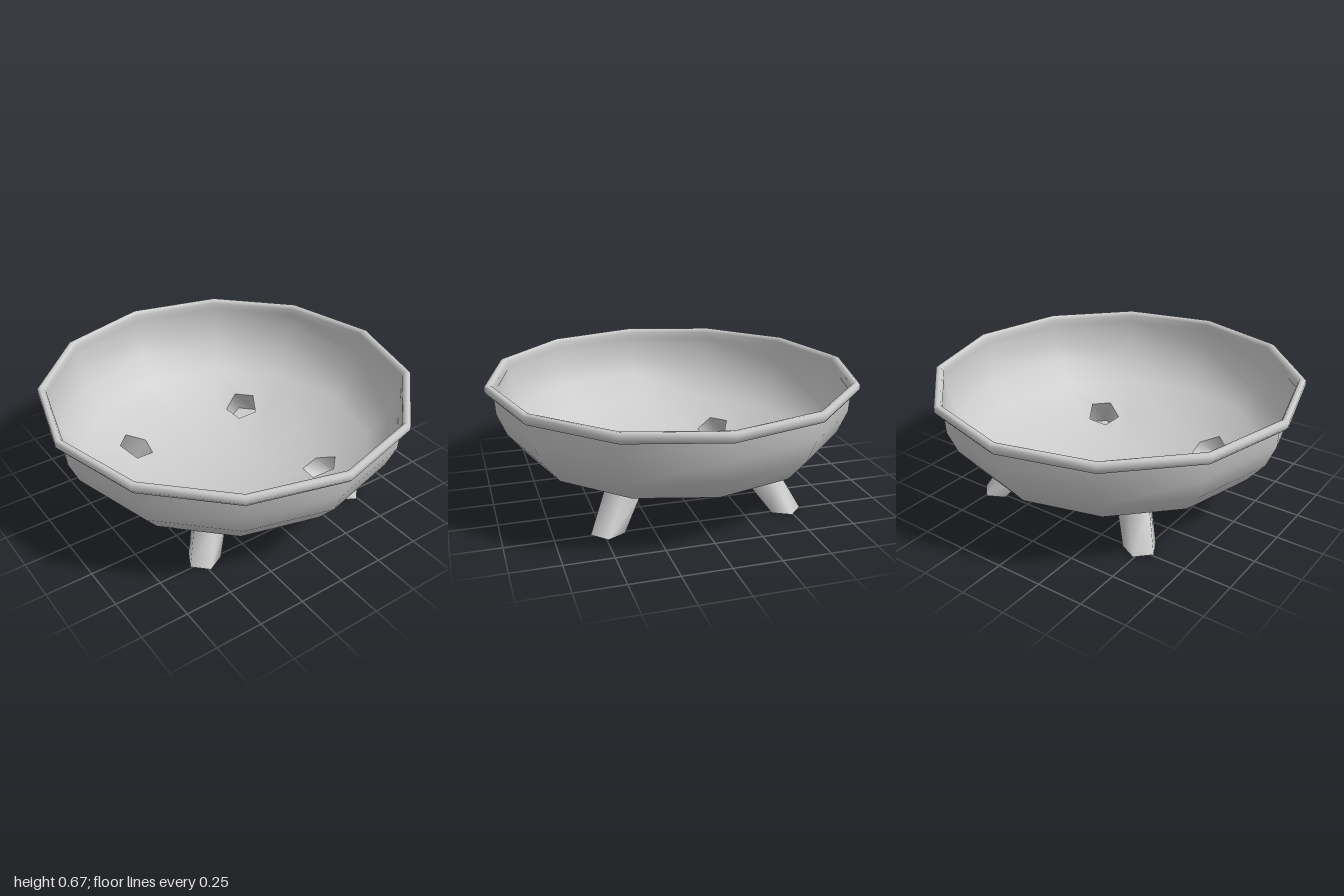
import * as THREE from 'three';
import { mergeVertices } from 'three/addons/utils/BufferGeometryUtils.js';

const SIDES = 12;
const HALF = Math.PI / SIDES;
const LEG_U = 0.53, LEG_R = 0.095; // socket distance from the axis and radius
const SOCKET_LINE = LEG_U - LEG_R * Math.cos(Math.PI * 0.4);

// bowl profile: radius at the corners, height
const PROFILE = [
  [0, 0.075], [0.27, 0.09], [SOCKET_LINE / Math.cos(HALF), 0.147], [0.8, 0.27],
  [0.9, 0.39], [0.95, 0.51], [0.957, 0.615],
];

// height of the bowl at distance u from the axis, measured across a flat side
function bowlHeight(u) {
  const r = u / Math.cos(HALF);
  let i = 1;
  while (i < PROFILE.length - 1 && r > PROFILE[i][0]) i++;
  const [r0, y0] = PROFILE[i - 1], [r1, y1] = PROFILE[i];
  return y0 + (y1 - y0) * (r - r0) / (r1 - r0);
}

// corner k of the five-sided leg socket, corner 0 pointing at the bowl's axis
function socketCorner(k) {
  const a = Math.PI + k * Math.PI * 0.4;
  return new THREE.Vector2(LEG_R * Math.sin(a), LEG_U + LEG_R * Math.cos(a));
}

// thin bowl made of flat panels, with socket openings notched out of four sides
function bowlGeometry() {
  const pos = [];
  for (let s = 0; s < SIDES; s++) {
    const angle = (2 * s + 1) * HALF;
    for (let b = 1; b < PROFILE.length; b++) {
      const [r0, y0] = PROFILE[b - 1], [r1, y1] = PROFILE[b];
      const u0 = r0 * Math.cos(HALF), t0 = r0 * Math.sin(HALF);
      const u1 = r1 * Math.cos(HALF), t1 = r1 * Math.sin(HALF);
      const V = (t, u) => new THREE.Vector2(t, u);
      const outline = r0 === 0 ? [V(0, 0)] : [V(-t0, u0), V(t0, u0)];
      const hasSocket = s % 3 === 1;
      if (hasSocket && b === 3) {
        outline.splice(1, 0, ...[1, 2, 3, 4].map(socketCorner)
          .sort((p, q) => p.x - q.x));
        // walk round the outer part of the socket from left to right
        const c = [1, 2, 3, 4].map(socketCorner);
        if (c[0].x > c[3].x) c.reverse();
        outline.splice(1, 4, ...c);
      }
      outline.push(V(t1, u1));
      if (hasSocket && b === 2) {
        const c = [1, 0, 4].map(socketCorner);
        if (c[0].x < c[2].x) c.reverse();
        outline.push(...c);
      }
      outline.push(V(-t1, u1));
      for (const tri of THREE.ShapeUtils.triangulateShape(outline, [])) {
        for (const i of tri) {
          const p = outline[i];
          const y = y0 + (y1 - y0) * (p.y - u0) / (u1 - u0);
          const v = new THREE.Vector3(p.x, y, p.y).applyAxisAngle(THREE.Object3D.DEFAULT_UP, angle);
          pos.push(v.x, v.y, v.z);
        }
      }
    }
  }
  const g = new THREE.BufferGeometry();
  g.setAttribute('position', new THREE.Float32BufferAttribute(pos, 3));
  const merged = mergeVertices(g, 1e-4);
  merged.computeVertexNormals();
  return merged;
}

// hollow leg splaying outwards along +z, its open top following the bowl
function legGeometry() {
  const g = new THREE.CylinderGeometry(1, 1, 1, 5, 1, true, Math.PI);
  const p = g.attributes.position;
  for (let i = 0; i < p.count; i++) {
    const x = p.getX(i), z = p.getZ(i);
    if (p.getY(i) > 0) {
      const u = LEG_U + LEG_R * z;
      p.setXYZ(i, LEG_R * x, bowlHeight(u), u);
    } else {
      p.setXYZ(i, 0.09 * x, 0, 0.675 + 0.09 * z);
    }
  }
  g.deleteAttribute('uv');
  g.deleteAttribute('normal');
  const merged = mergeVertices(g, 1e-4);
  merged.computeVertexNormals();
  return merged;
}

export function createModel() {
  const group = new THREE.Group();
  const material = new THREE.MeshStandardMaterial({ color: 0xcccccc, side: THREE.DoubleSide });
  const add = (parent, name, geometry) => {
    const mesh = new THREE.Mesh(geometry, material);
    mesh.name = name;
    parent.add(mesh);
  };

  add(group, 'bowl', bowlGeometry());

  // rim: closed band with a sloping underside
  const rim = [[0.957, 0.61], [0.985, 0.615], [1, 0.635], [1, 0.662], [0.985, 0.67], [0.967, 0.668], [0.957, 0.65], [0.957, 0.61]];
  add(group, 'rim', new THREE.LatheGeometry(rim.map(([r, y]) => new THREE.Vector2(r, y)), SIDES));

  // four splayed legs with flat feet
  const side = legGeometry();
  const foot = new THREE.CircleGeometry(0.09, 5, -Math.PI / 2).rotateX(Math.PI / 2).translate(0, 0, 0.675);
  for (let i = 0; i < 4; i++) {
    const leg = new THREE.Group();
    leg.name = 'leg' + (i + 1);
    add(leg, 'legSide', side);
    add(leg, 'legFoot', foot);
    leg.rotation.y = Math.PI / 4 + i * Math.PI / 2;
    group.add(leg);
  }
  return group;
}
